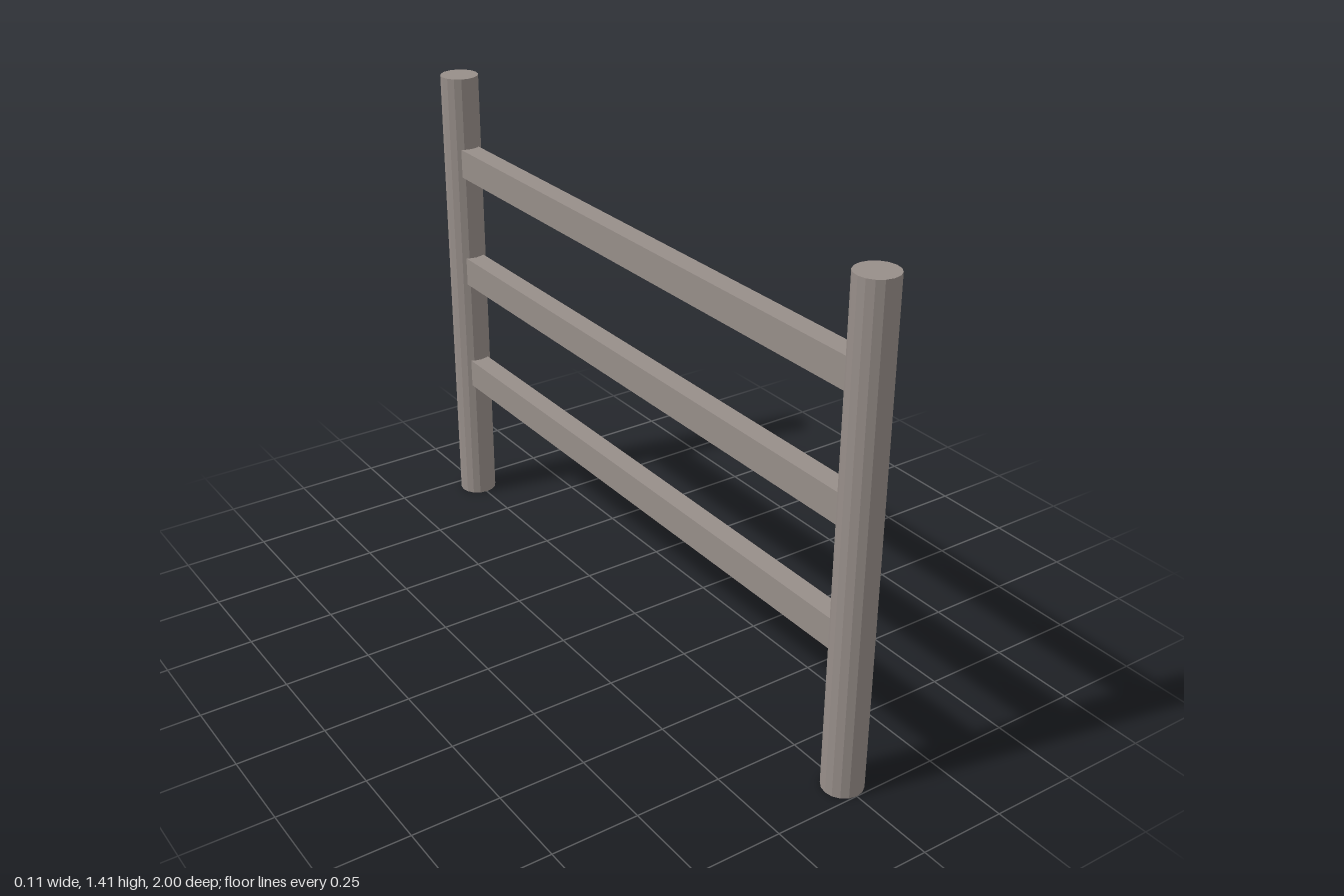
import * as THREE from 'three';

export function createModel() {
  const group = new THREE.Group();
  const material = new THREE.MeshStandardMaterial({ color: 0x978e89, flatShading: true });

  const height = 1.412, radius = 0.057, postZ = 1 - radius;

  // Round end posts
  const postGeometry = new THREE.CylinderGeometry(radius, radius, height, 16);
  for (const [name, side] of [['frontPost', 1], ['backPost', -1]]) {
    const post = new THREE.Mesh(postGeometry, material);
    post.name = name;
    post.position.set(0, height / 2, side * postZ);
    group.add(post);
  }

  // Three flat rails, their ends set into the posts
  const railGeometry = new THREE.BoxGeometry(0.06, 0.088, 2 * postZ - 0.06);
  ['lowerRail', 'middleRail', 'upperRail'].forEach((name, i) => {
    const rail = new THREE.Mesh(railGeometry, material);
    rail.name = name;
    rail.position.y = 0.444 + i * 0.353;
    group.add(rail);
  });

  return group;
}
